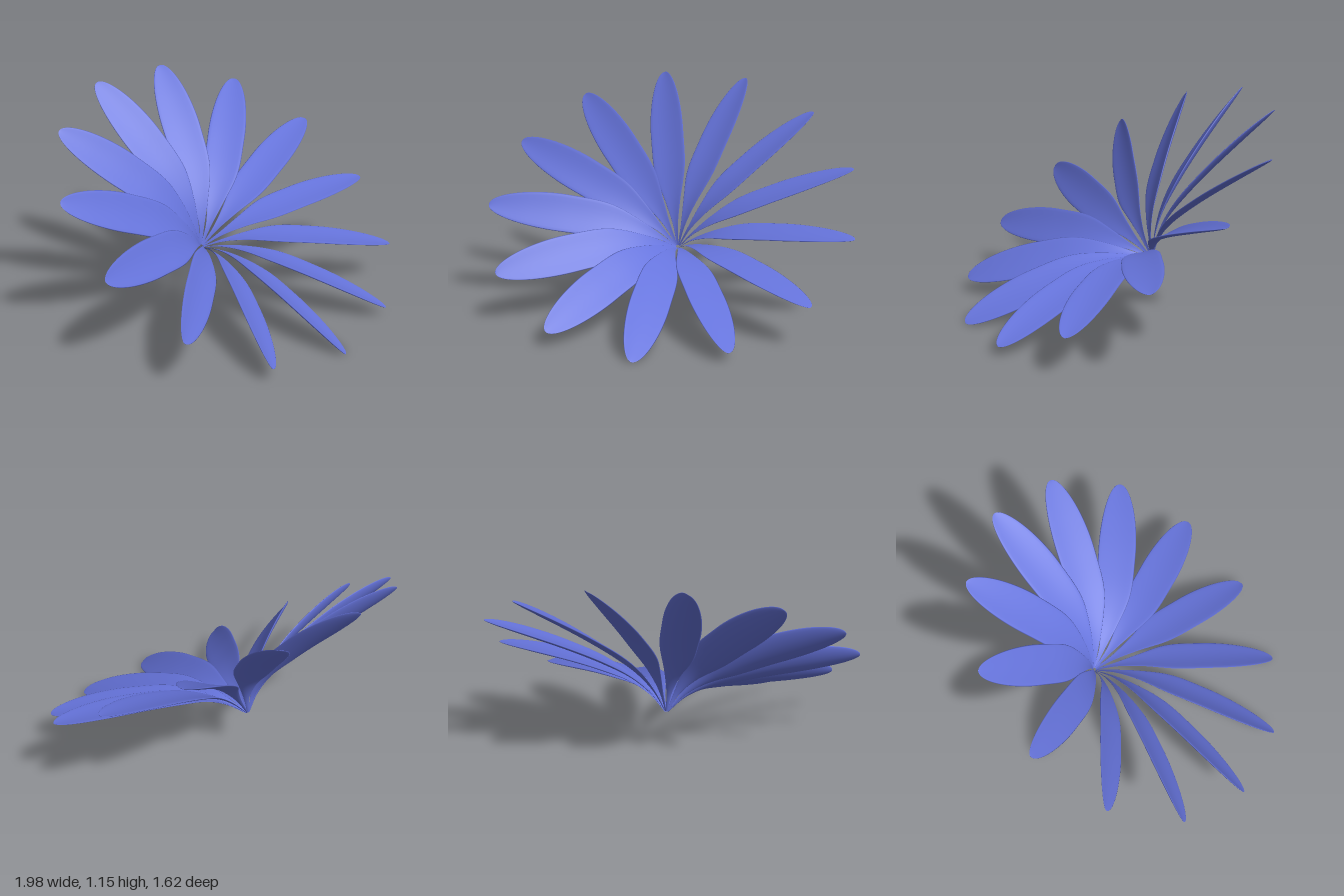
import * as THREE from 'three';

const PETALS = 13, RINGS = 48, SIDES = 20;

// One petal along +x: a thin lens section swept up a curved midrib and rolled like a propeller blade.
function petalGeometry() {
  const V = (x, y, z) => new THREE.Vector3(x, y, z);
  // x = distance from centre, y = height, z = half width
  const rib = new THREE.CatmullRomCurve3([
    V(0.01, 0, 0.004), V(0.09, 0.085, 0.015), V(0.2, 0.16, 0.046), V(0.36, 0.226, 0.094),
    V(0.56, 0.283, 0.104), V(0.78, 0.332, 0.104), V(1, 0.373, 0.1),
  ]);
  const pos = [], index = [];
  for (let i = 0; i <= RINGS; i++) {
    const u = 1 - (1 - i / RINGS) ** 1.8; // denser towards the rounded tip
    const p = rib.getPoint(u), d = rib.getTangent(u);
    const slope = Math.atan2(d.y, d.x);
    const tip = Math.max(0, (p.x - 0.6) / 0.4);
    const w = p.z * Math.sqrt(Math.max(0, 1 - tip * tip)) + 0.0005;
    const roll = THREE.MathUtils.degToRad(21 + 7 * p.x);
    for (let j = 0; j < SIDES; j++) {
      const a = (j / SIDES) * Math.PI * 2;
      const across = w * Math.cos(a);
      const lift = 0.1 * w * Math.sin(a) + 0.15 * w * Math.cos(a) ** 2;
      const side = across * Math.cos(roll) - lift * Math.sin(roll);
      const up = across * Math.sin(roll) + lift * Math.cos(roll);
      pos.push(p.x - up * Math.sin(slope), p.y + up * Math.cos(slope), side);
      if (i < RINGS) {
        const k = i * SIDES + j, n = i * SIDES + (j + 1) % SIDES;
        index.push(k, k + SIDES, n, n, k + SIDES, n + SIDES);
      }
    }
  }
  const g = new THREE.BufferGeometry();
  g.setAttribute('position', new THREE.Float32BufferAttribute(pos, 3));
  g.setIndex(index);
  g.computeVertexNormals();
  return g;
}

export function createModel() {
  const model = new THREE.Group();
  model.name = 'flower';
  const material = new THREE.MeshStandardMaterial({ color: 0x6674dc, side: THREE.DoubleSide });

  // Ring of petals, tilted to face the front
  const blossom = new THREE.Group();
  blossom.name = 'blossom';
  const geometry = petalGeometry();
  for (let k = 0; k < PETALS; k++) {
    const petal = new THREE.Mesh(geometry, material);
    petal.name = 'petal';
    petal.rotation.y = -(THREE.MathUtils.degToRad(10.2) + (k / PETALS) * Math.PI * 2);
    blossom.add(petal);
  }
  blossom.rotation.x = THREE.MathUtils.degToRad(35.2);
  blossom.position.set(0, 0.27, -0.215);
  model.add(blossom);
  return model;
}
